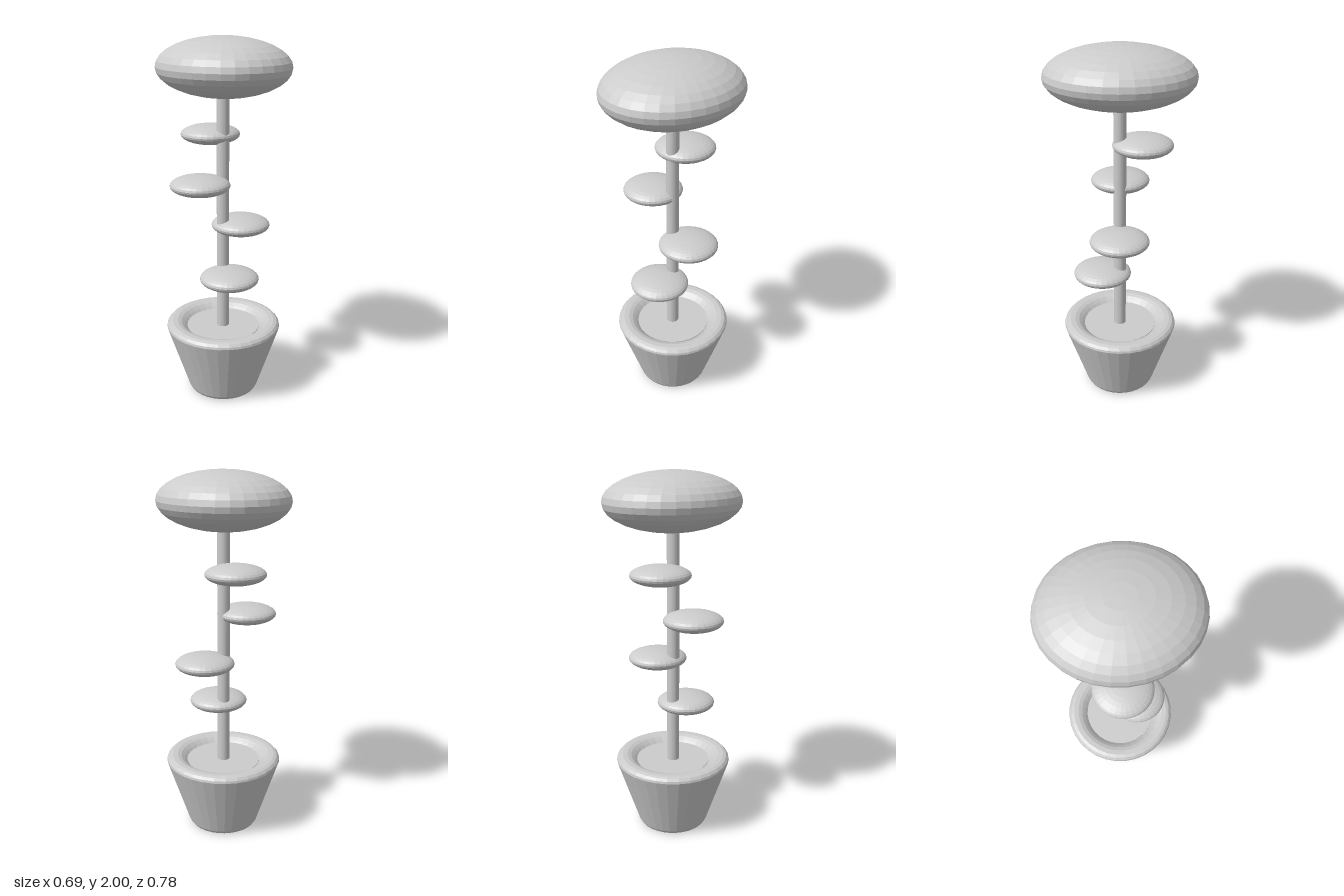
import * as THREE from 'three';

const material = new THREE.MeshStandardMaterial({ color: 0xcccccc, flatShading: true });

function addPart(group, name, geometry, x = 0, y = 0, z = 0) {
  const mesh = new THREE.Mesh(geometry, material);
  mesh.name = name;
  mesh.position.set(x, y, z);
  group.add(mesh);
  return mesh;
}

// Flattened sphere with its own radius on each axis
const ellipsoid = (rx, ry, rz) => new THREE.SphereGeometry(1, 32, 16).scale(rx, ry, rz);

export function createModel() {
  const group = new THREE.Group();
  group.name = 'pottedTopiary';

  // Tapered pot: bevelled foot, rounded rim dipping inwards to the soil
  const profile = [
    [0, 0], [0.175, 0], [0.19, 0.006], [0.2, 0.022],
    [0.323, 0.392], [0.32, 0.404], [0.308, 0.417], [0.29, 0.423],
    [0.262, 0.422], [0.24, 0.414], [0.222, 0.4], [0.206, 0.384],
  ].map(([r, y]) => new THREE.Vector2(r, y));
  addPart(group, 'pot', new THREE.LatheGeometry(profile, 32));

  // Soil disc
  addPart(group, 'soil', new THREE.CylinderGeometry(0.207, 0.207, 0.02, 32), 0, 0.379, 0);

  // Stem from the soil into the crown
  addPart(group, 'stem', new THREE.CylinderGeometry(0.034, 0.034, 1.4, 32), -0.002, 1.085, 0);

  // Leaf pads spiralling up the stem
  const leaves = [
    [-0.015, 0.713, 0.099],
    [0.11, 0.978, 0],
    [-0.14, 1.234, 0],
    [-0.015, 1.48, -0.12],
  ];
  leaves.forEach(([x, y, z], i) =>
    addPart(group, `leaf${i + 1}`, ellipsoid(0.162, 0.054, 0.162), x, y, z));

  // Wide crown
  addPart(group, 'crown', ellipsoid(0.343, 0.156, 0.39), 0, 1.844, 0);

  return group;
}
